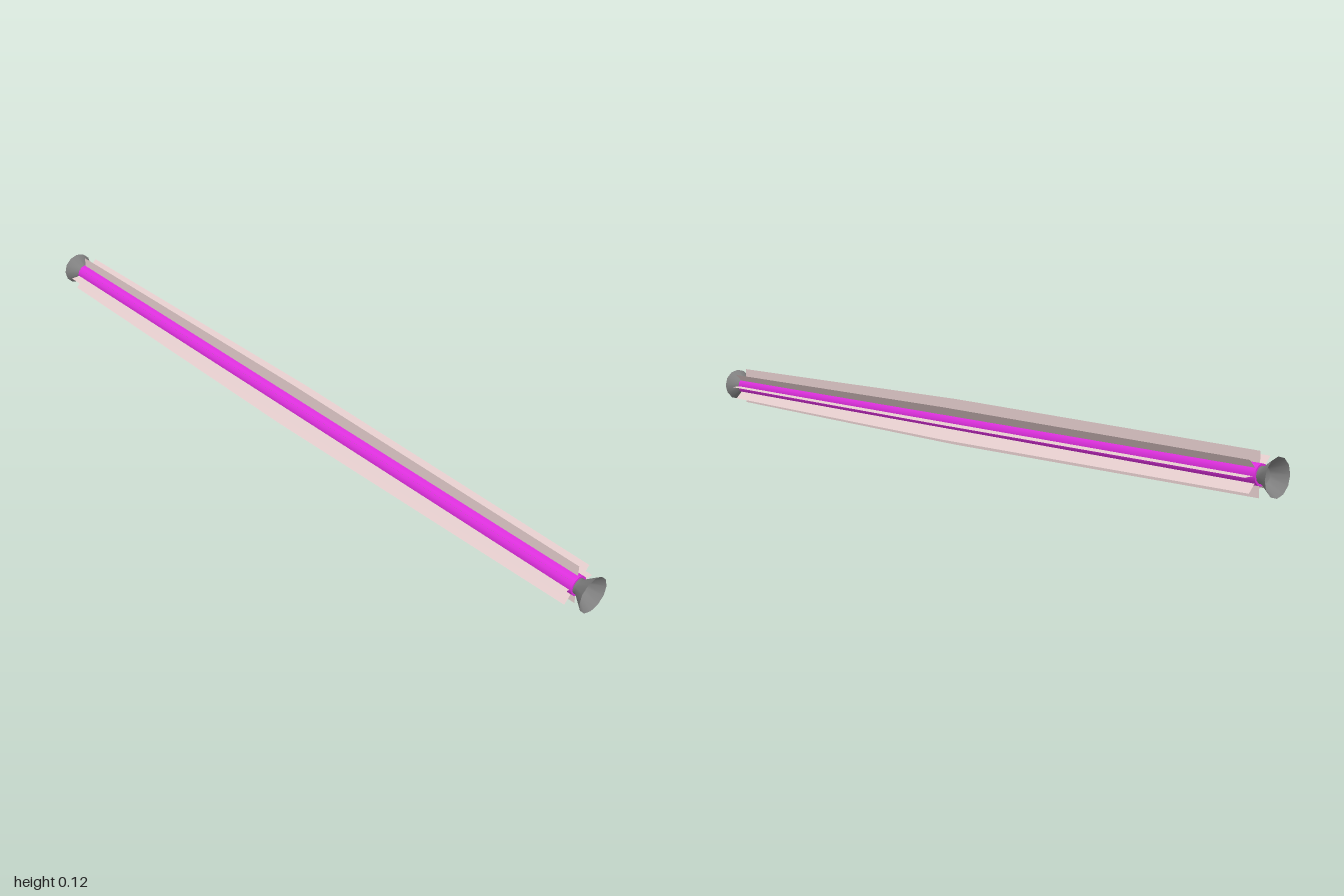
import * as THREE from 'three';

const AXIS_Y = 0.06;

export function createModel() {
  const group = new THREE.Group();
  const beamMat = new THREE.MeshStandardMaterial({ color: 0xe030e0 });
  beamMat.name = 'magenta';
  const glowMat = new THREE.MeshStandardMaterial({ color: 0xe8d0d0, side: THREE.DoubleSide });
  glowMat.name = 'pale pink';
  const metalMat = new THREE.MeshStandardMaterial({ color: 0x808080, side: THREE.DoubleSide });
  metalMat.name = 'grey metal';

  const add = (name, geometry, material) => {
    const mesh = new THREE.Mesh(geometry, material);
    mesh.name = name;
    mesh.position.y = AXIS_Y;
    group.add(mesh);
    return mesh;
  };

  // Core beam along x
  add('beamCore', new THREE.CylinderGeometry(0.025, 0.025, 1.92, 12).rotateZ(Math.PI / 2), beamMat);

  // Thin glow planes crossing on the beam axis, widest in the middle
  const outline = new THREE.Shape([
    [-0.955, -0.051], [0, -0.06], [0.955, -0.051],
    [0.955, 0.051], [0, 0.06], [-0.955, 0.051],
  ].map(([x, y]) => new THREE.Vector2(x, y)));
  for (let i = 0; i < 4; i++) {
    add('glowPlane' + (i + 1), new THREE.ShapeGeometry(outline).rotateX(i * Math.PI / 4), glowMat);
  }

  // Flared end caps: open funnel and a shallow dished plate at its throat
  const lathe = (points, side) => new THREE.LatheGeometry(
    points.map(([r, h]) => new THREE.Vector2(r, h)), 12).rotateZ(-side * Math.PI / 2);
  for (const side of [1, -1]) {
    const label = side > 0 ? 'left' : 'right';
    add(label + 'Funnel', lathe([[0.02, 0.955], [0.02, 0.967], [0.045, 1]], side), metalMat);
    add(label + 'ThroatPlate', lathe([[0, 0.962], [0.012, 0.963], [0.02, 0.967]], side), metalMat);
  }
  return group;
}
